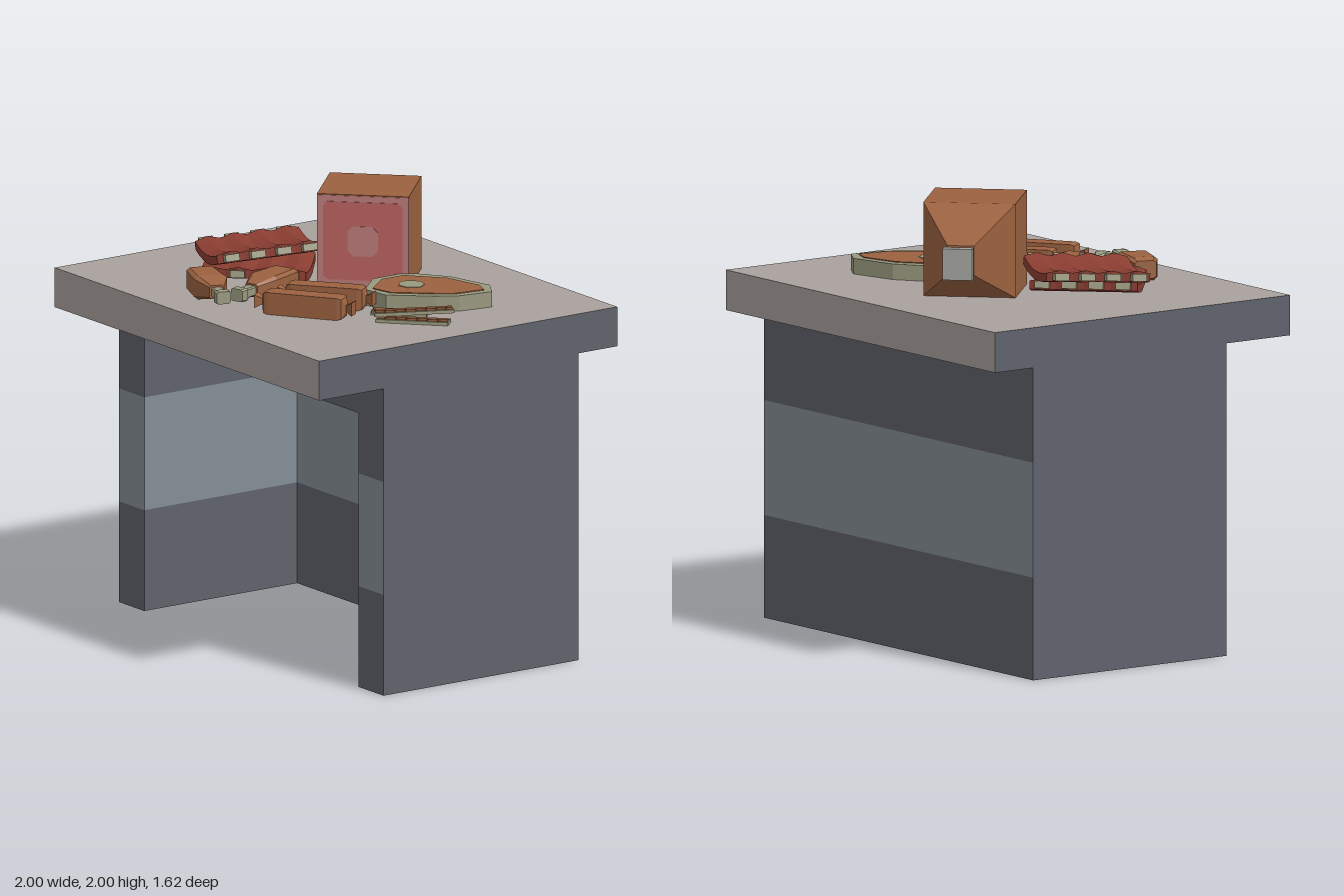
import * as THREE from 'three';

const paint = (name, color) => Object.assign(new THREE.MeshStandardMaterial({ color }), { name });
const dark = paint('dark grey cabinet', 0x5f626b);
const band = paint('blue grey band', 0x858e96);
const stone = paint('beige worktop', 0xa8a19c);
const brown = paint('cooked brown', 0x9b6240);
const red = paint('rib red', 0x8a3d31);
const bone = paint('bone and fat', 0x99997f);
const pink = paint('ham pink', 0xb96160);
const rind = paint('ham pale pink', 0xba7b79);
const metal = paint('pale grey shank', 0xa3a39f);

const TOP = 1.58; // worktop height

function add(parent, name, geometry, material) {
  const mesh = new THREE.Mesh(geometry, material);
  mesh.name = name;
  parent.add(mesh);
  return mesh;
}

// Box given by its limits
function block(parent, name, [x0, x1], [y0, y1], [z0, z1], material) {
  const mesh = add(parent, name, new THREE.BoxGeometry(x1 - x0, y1 - y0, z1 - z0), material);
  mesh.position.set((x0 + x1) / 2, (y0 + y1) / 2, (z0 + z1) / 2);
  return mesh;
}

function faceted(geometry) {
  const flat = geometry.index ? geometry.toNonIndexed() : geometry;
  flat.computeVertexNormals();
  return flat;
}

// Solid along z from [z, halfWidth, halfHeight] sections; cut trims the corners
function loft(sections, cut = 0) {
  const pos = [], index = [];
  const ring = cut
    ? [[-1 + cut, -1], [1 - cut, -1], [1, -1 + cut], [1, 1 - cut], [1 - cut, 1], [-1 + cut, 1], [-1, 1 - cut], [-1, -1 + cut]]
    : [[-1, -1], [1, -1], [1, 1], [-1, 1]];
  const n = ring.length, last = (sections.length - 1) * n;
  for (const [z, w, h] of sections) for (const [x, y] of ring) pos.push(x * w, y * h, z);
  for (let s = 0; s < last; s += n) {
    for (let i = 0; i < n; i++) {
      const a = s + i, b = s + (i + 1) % n;
      index.push(a, b, b + n, a, b + n, a + n);
    }
  }
  for (let i = 1; i < n - 1; i++) index.push(0, i + 1, i, last, last + i, last + i + 1);
  const g = new THREE.BufferGeometry();
  g.setAttribute('position', new THREE.Float32BufferAttribute(pos, 3));
  g.setIndex(index);
  return faceted(g);
}

const outline = (pts) => new THREE.Shape(pts.map(([x, y]) => new THREE.Vector2(x, y)));
const plate = (pts, depth) => new THREE.ExtrudeGeometry(outline(pts), { depth, bevelEnabled: false });
// Horizontal plate from [x, z] points
const flatPlate = (pts, depth) => plate(pts.map(([x, z]) => [x, -z]), depth).rotateX(-Math.PI / 2);
const cutSquare = (r, c) => [[-r + c, -r], [r - c, -r], [r, -r + c], [r, r - c], [r - c, r], [-r + c, r], [-r, r - c], [-r, -r + c]];

// Group at a whose +z points towards b, both [x, z]
function along(parent, name, a, b, y) {
  const g = new THREE.Group();
  g.name = name;
  g.position.set(a[0], y, a[1]);
  g.rotation.y = Math.atan2(b[0] - a[0], b[1] - a[1]);
  g.userData.length = Math.hypot(b[0] - a[0], b[1] - a[1]);
  parent.add(g);
  return g;
}

function table(root) {
  const g = new THREE.Group();
  g.name = 'counter';
  root.add(g);
  // Sides and underside of the worktop are dark
  block(g, 'worktop', [-1, 1], [1.4, TOP], [-0.81, 0.81], [dark, dark, stone, dark, stone, stone]);
  block(g, 'lintel', [-0.81, 0.81], [1.25, 1.4], [-0.37, 0.46], dark);
  // Layers: the middle one is banded except on the outer ends
  for (const [y0, y1, m] of [[0, 0.46, dark], [0.46, 0.975, band], [0.975, 1.4, dark]]) {
    block(g, 'backWall', [-0.81, 0.81], [y0, y1], [-0.6, -0.37], [dark, dark, dark, dark, m, m]);
    block(g, 'leftLeg', [0.81, 1], [y0, y1], [-0.6, 0.46], [dark, m, dark, dark, m, m]);
    block(g, 'rightLeg', [-1, -0.81], [y0, y1], [-0.6, 0.46], [m, dark, dark, dark, m, m]);
  }
}

function ham(root) {
  const g = along(root, 'ham', [-0.47, -0.625], [0.07, -0.096], TOP + 0.21);
  const end = g.userData.length;
  add(g, 'shankKnob', loft([[0, 0.066, 0.07], [0.045, 0.066, 0.07]]), metal);
  add(g, 'shankNeck', loft([[0.045, 0.045, 0.055], [0.12, 0.045, 0.055]]), metal);
  add(g, 'hamBody', loft([[0.11, 0.06, 0.066], [0.385, 0.205, 0.21], [end, 0.205, 0.21]]), brown);
  const faces = [['hamRind', 0.205, 0.002, 0.003, rind], ['hamMeat', 0.178, 0.02, 0.006, pink], ['hamBone', 0.068, 0.025, 0.009, rind]];
  for (const [name, r, c, depth, m] of faces) add(g, name, plate(cutSquare(r, c), depth), m).position.z = end;
}

function steak(root) {
  const rim = [[0.58, -0.42], [0.68, -0.36], [0.655, -0.2], [0.6, -0.11], [0.455, 0.055], [0.32, 0.075], [0.19, -0.065], [0.19, -0.21], [0.22, -0.265], [0.36, -0.365]];
  const meat = [[0.565, -0.375], [0.64, -0.345], [0.62, -0.2], [0.57, -0.13], [0.44, 0.02], [0.335, 0.04], [0.23, -0.085], [0.23, -0.2], [0.38, -0.33]];
  const eye = [[0.37, -0.195], [0.42, -0.18], [0.45, -0.135], [0.42, -0.085], [0.37, -0.075], [0.32, -0.12], [0.33, -0.165]];
  add(root, 'steakFat', flatPlate(rim, 0.07), bone).position.y = TOP;
  add(root, 'steakMeat', flatPlate(meat, 0.004), brown).position.y = TOP + 0.07;
  add(root, 'steakBone', flatPlate(eye, 0.007), bone).position.y = TOP + 0.07;
}

function bacon(root) {
  const strips = [[[0.81, -0.035], [0.575, 0.19], 0], [[0.64, -0.04], [0.46, 0.135], 0.002], [[0.69, -0.14], [0.54, 0.185], 0.017]];
  for (const [a, b, lift] of strips) {
    const g = along(root, 'baconStrip', a, b, TOP + lift);
    const len = g.userData.length;
    block(g, 'baconFat', [-0.037, 0.037], [0, 0.015], [0, len], bone);
    for (const x of [-0.016, 0.018]) block(g, 'baconStripe', [x - 0.012, x + 0.012], [0.015, 0.018], [0.005, len - 0.005], brown);
  }
}

function sausages(root) {
  for (const [a, b] of [[[0.11, 0.337], [0.38, 0.12]], [[0.165, 0.5], [0.465, 0.29]]]) {
    const g = along(root, 'sausage', a, b, TOP + 0.05);
    const len = g.userData.length;
    // Pinched ends flare out into small tufts
    add(g, 'sausageBody', loft([
      [-0.045, 0.03, 0.03], [-0.012, 0.012, 0.014], [0, 0.038, 0.044], [0.02, 0.043, 0.05],
      [len - 0.02, 0.043, 0.05], [len, 0.038, 0.044], [len + 0.012, 0.012, 0.014], [len + 0.045, 0.03, 0.03],
    ]), brown);
  }
}

function drumsticks(root) {
  for (const [a, b] of [[[-0.1, 0.18], [0.02, 0.55]], [[-0.345, 0.5], [0.03, 0.63]]]) {
    const g = along(root, 'drumstick', a, b, TOP + 0.053);
    add(g, 'drumstickMeat', loft([[0, 0.05, 0.04], [0.035, 0.066, 0.053], [0.19, 0.076, 0.053], [0.285, 0.033, 0.03]], 0.25), brown);
    add(g, 'drumstickBone', loft([[0.27, 0.024, 0.022], [0.335, 0.024, 0.022], [0.36, 0.036, 0.03], [0.395, 0.032, 0.028]], 0.25), bone);
  }
}

function ribRack(root, name, [x, y, z], [pitch, yaw, roll]) {
  const g = new THREE.Group();
  g.name = name;
  g.position.set(x, y, z);
  g.rotation.set(pitch, yaw, roll, 'YXZ');
  root.add(g);
  const W = 0.35, L = 0.48, curl = (u) => 0.9 * u * u;
  const meat = new THREE.BoxGeometry(W, 0.045, L, 6, 1, 16);
  const p = meat.attributes.position;
  for (let i = 0; i < p.count; i++) {
    const u = p.getX(i), v = p.getZ(i);
    const bulge = -Math.cos((v / L + 0.5) * Math.PI * 8); // four swollen ribs
    p.setY(i, p.getY(i) + curl(u) + (p.getY(i) > 0 ? 0.007 * bulge : 0));
    p.setX(i, u * (1 + 0.025 * bulge));
  }
  add(g, 'ribMeat', faceted(meat), red);
  for (let k = 0; k < 4; k++) {
    for (const side of [-1, 1]) {
      const stub = add(g, 'ribBone', new THREE.BoxGeometry(0.06, 0.032, 0.065), bone);
      stub.position.set(side * (W / 2 + 0.008), curl(W / 2), (k - 1.5) * L / 4);
      stub.rotation.z = side * 0.2;
    }
  }
}

export function createModel() {
  const root = new THREE.Group();
  root.name = 'meatCounter';
  table(root);
  ham(root);
  steak(root);
  bacon(root);
  sausages(root);
  drumsticks(root);
  ribRack(root, 'lowerRibs', [-0.37, TOP + 0.025, 0.165], [0, -0.75, 0]);
  ribRack(root, 'upperRibs', [-0.44, TOP + 0.088, 0.105], [0.06, -0.33, 0.06]);
  return root;
}
